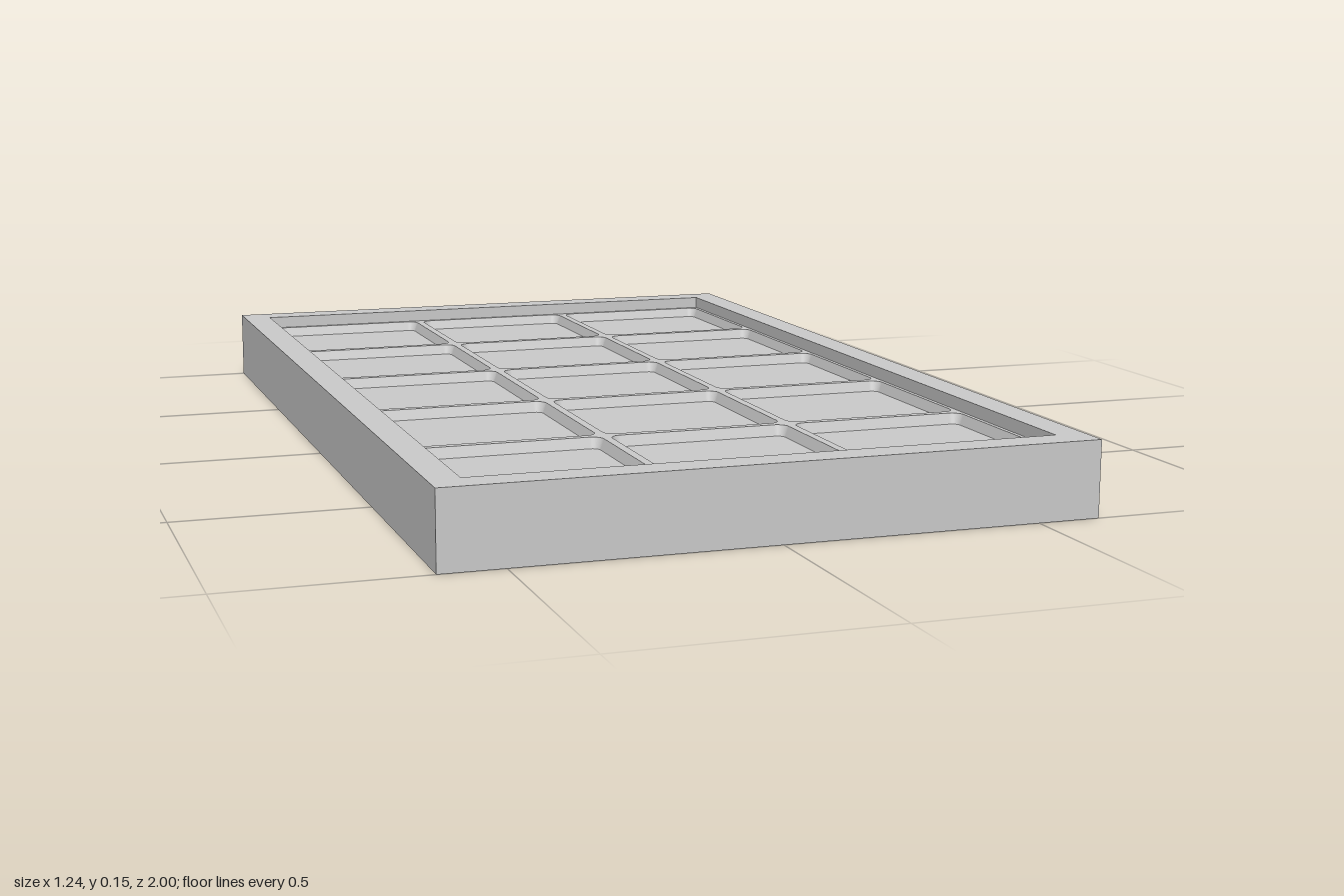
import * as THREE from 'three';

const W = 1.244, L = 2, H = 0.147;          // outer size
const PITCH = 0.375, COLS = 3, ROWS = 5;    // compartment grid
const IN_W = PITCH * COLS, IN_L = PITCH * ROWS;
const LEDGE = 0.121, FLOOR = 0.1;           // heights of divider tops and pocket floors

const material = new THREE.MeshStandardMaterial({ color: 0xcccccc });

function rect(w, l) {
  return new THREE.Shape([
    new THREE.Vector2(-w / 2, -l / 2), new THREE.Vector2(w / 2, -l / 2),
    new THREE.Vector2(w / 2, l / 2), new THREE.Vector2(-w / 2, l / 2),
  ]);
}

// Square with rounded corners, centred on (cx, cy)
function roundedHole(cx, cy, size, r) {
  const p = new THREE.Path();
  const a = size / 2 - r;
  [[1, 1], [-1, 1], [-1, -1], [1, -1]].forEach(([sx, sy], i) => {
    p.absarc(cx + sx * a, cy + sy * a, r, i * Math.PI / 2, (i + 1) * Math.PI / 2, false);
  });
  p.closePath();
  return p;
}

function addPart(group, name, geometry) {
  const mesh = new THREE.Mesh(geometry, material);
  mesh.name = name;
  group.add(mesh);
}

export function createModel() {
  const group = new THREE.Group();
  group.name = 'compartmentTray';

  // Solid base, its top forms the pocket floors
  addPart(group, 'base', new THREE.BoxGeometry(W, FLOOR, L).translate(0, FLOOR / 2, 0));

  // Raised outer frame
  const frame = rect(W, L);
  frame.holes.push(rect(IN_W, IN_L));
  addPart(group, 'rim', new THREE.ExtrudeGeometry(frame, { depth: H - FLOOR, bevelEnabled: false })
    .rotateX(-Math.PI / 2).translate(0, FLOOR, 0));

  // Divider grid with rounded pockets; the bevel gives the pocket walls their draft
  const grid = rect(IN_W, IN_L);
  for (let c = 0; c < COLS; c++) {
    for (let r = 0; r < ROWS; r++) {
      grid.holes.push(roundedHole((c - (COLS - 1) / 2) * PITCH, (r - (ROWS - 1) / 2) * PITCH, 0.358, 0.022));
    }
  }
  const rise = LEDGE - FLOOR, buried = 0.01;
  addPart(group, 'dividers', new THREE.ExtrudeGeometry(grid, {
    depth: buried, bevelEnabled: true, bevelThickness: rise, bevelSize: 0.007, bevelSegments: 1, curveSegments: 6,
  }).rotateX(-Math.PI / 2).translate(0, FLOOR - buried, 0));

  return group;
}
